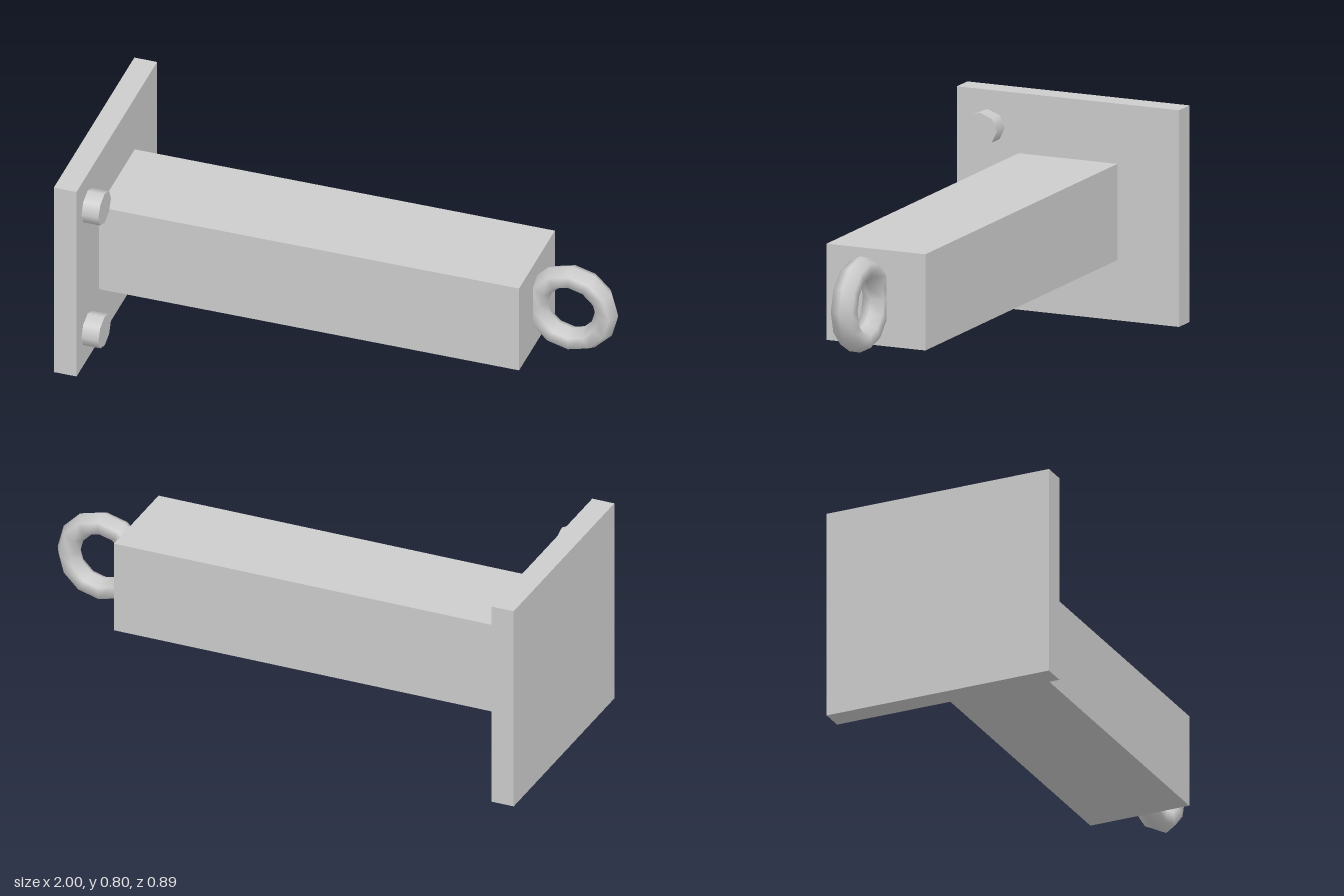
import * as THREE from 'three';

export function createModel() {
  const model = new THREE.Group();
  const grey = new THREE.MeshStandardMaterial({ color: 0xcccccc });
  grey.name = 'light grey';
  const midY = 0.401;

  const add = (name, geometry, x, y, z) => {
    const mesh = new THREE.Mesh(geometry, grey);
    mesh.name = name;
    mesh.position.set(x, y, z);
    model.add(mesh);
    return mesh;
  };

  // Square wall plate and the beam standing out from it
  add('wallPlate', new THREE.BoxGeometry(0.087, 0.802, 0.888), -0.9565, midY, 0);
  add('beam', new THREE.BoxGeometry(1.603, 0.356, 0.395), -0.1115, midY, 0);

  // Two bolts on the front side of the plate, slightly flattened in height
  const boltGeometry = new THREE.CylinderGeometry(0.069, 0.069, 0.066, 8);
  boltGeometry.rotateZ(-Math.PI / 2);
  boltGeometry.scale(1, 0.9, 1);
  for (const [name, side] of [['upperBolt', 1], ['lowerBolt', -1]]) {
    add(name, boltGeometry, -0.881, midY + side * 0.267, 0.322);
  }

  // Faceted ring, partly sunk into the end of the beam
  const ringGeometry = new THREE.TorusGeometry(0.1335, 0.0445, 6, 12);
  ringGeometry.scale(1, 1, 1.11);
  add('endRing', ringGeometry, 0.822, midY, 0);

  return model;
}
